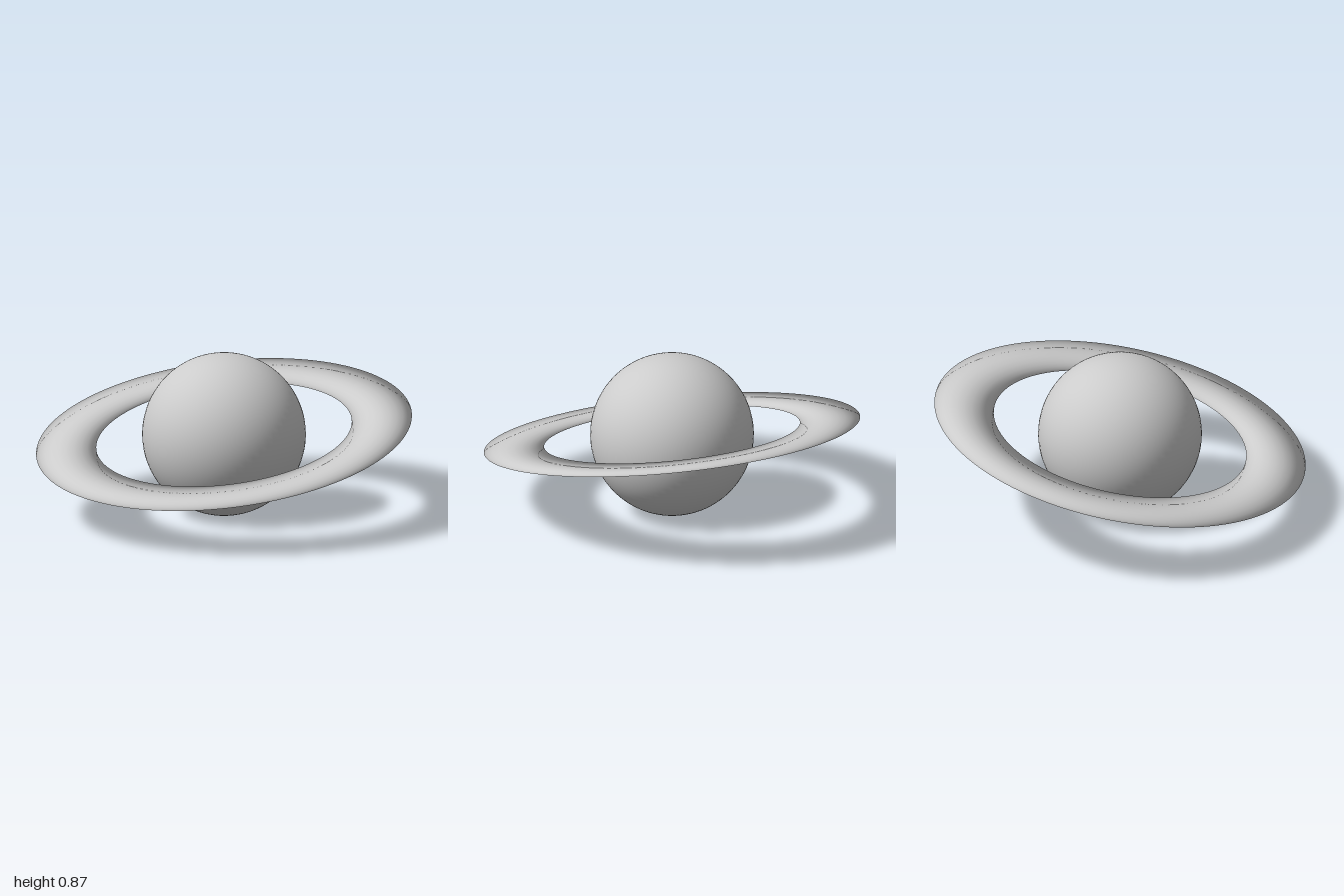
import * as THREE from 'three';

export function createModel() {
  const group = new THREE.Group();
  const material = new THREE.MeshStandardMaterial({ color: 0xcccccc });
  const radius = 0.433;

  // Planet globe resting on the ground
  const planet = new THREE.Mesh(new THREE.SphereGeometry(radius, 64, 48), material);
  planet.name = 'planet';
  planet.position.y = radius;
  group.add(planet);

  // Ring: a torus pressed almost flat, keeping its rounded normals for soft shading
  const inner = 0.68, outer = 1, flatness = 0.015;
  const ringGeometry = new THREE.TorusGeometry((inner + outer) / 2, (outer - inner) / 2, 24, 128);
  ringGeometry.rotateX(-Math.PI / 2);
  const position = ringGeometry.attributes.position;
  for (let i = 0; i < position.count; i++) position.setY(i, position.getY(i) * flatness);

  // Tilted so the front edge hangs lower than the back
  const ring = new THREE.Mesh(ringGeometry, material);
  ring.name = 'ring';
  ring.position.y = radius - 0.003;
  ring.rotation.x = THREE.MathUtils.degToRad(11);
  group.add(ring);

  return group;
}
